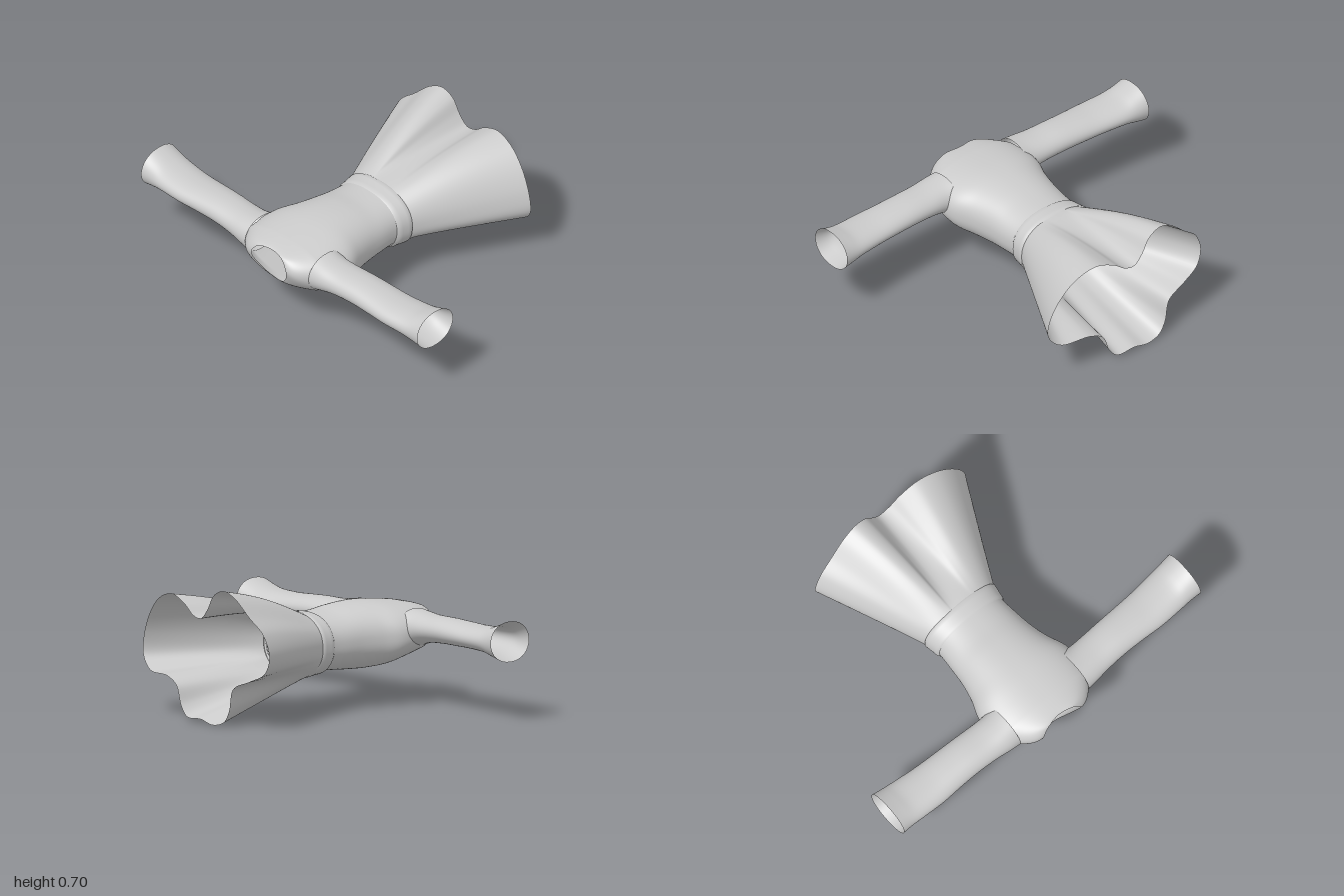
import * as THREE from 'three';

const N = 96; // points round each cross-section
const TAU = Math.PI * 2;
const fabric = new THREE.MeshStandardMaterial({ color: 0xcccccc, side: THREE.DoubleSide });

// Skin a list of closed rings; quads whose centre satisfies skip() are left open
function loft(name, rings, skip = () => false) {
  const n = rings[0].length, index = [];
  for (let i = 0; i < rings.length - 1; i++) {
    for (let j = 0; j < n; j++) {
      const k = (j + 1) % n;
      const centre = rings[i][j].clone().add(rings[i + 1][k]).multiplyScalar(0.5);
      if (skip(centre)) continue;
      const a = i * n + j, b = i * n + k, c = a + n, d = b + n;
      index.push(a, b, c, b, d, c);
    }
  }
  const geometry = new THREE.BufferGeometry().setFromPoints(rings.flat());
  geometry.setIndex(index);
  geometry.computeVertexNormals();
  const mesh = new THREE.Mesh(geometry, fabric);
  mesh.name = name;
  return mesh;
}

// Point on a rounded-box-like oval: half width rx, from y0 to y1
function oval(angle, z, rx, y0, y1, power = 0.88) {
  const c = Math.cos(angle), s = Math.sin(angle);
  return new THREE.Vector3(
    rx * Math.sign(c) * Math.abs(c) ** power,
    (y0 + y1) / 2 + (y1 - y0) / 2 * Math.sign(s) * Math.abs(s) ** power, z);
}
const angles = Array.from({ length: N }, (_, j) => j / N * TAU);
const closedCurve = (pts) =>
  new THREE.CatmullRomCurve3(pts.map(([x, y, z]) => new THREE.Vector3(x, y, z)), true, 'centripetal');

// Smoothly resample a short table of section measurements
function resample(table, steps) {
  const axis = table[0].map((_, c) => new THREE.SplineCurve(
    table.map((row, i) => new THREE.Vector2(i, row[c]))));
  return Array.from({ length: steps + 1 }, (_, i) => axis.map((s) => s.getPoint(i / steps).y));
}

// Flared skirt whose folds grow from the oval waist to the wavy hem
function makeSkirt() {
  const hem = closedCurve([
    [0.51, 0.40], [0.44, 0.53], [0.35, 0.61], [0.24, 0.64], [0.13, 0.60], [0.06, 0.55], [0, 0.54],
    [-0.05, 0.59], [-0.10, 0.67], [-0.17, 0.70], [-0.25, 0.67], [-0.35, 0.58], [-0.44, 0.50],
    [-0.48, 0.39], [-0.45, 0.30], [-0.35, 0.25], [-0.24, 0.20], [-0.21, 0.08], [-0.17, 0.02],
    [-0.09, 0.0], [0, 0.02], [0.11, 0.02], [0.16, 0.07], [0.20, 0.17], [0.28, 0.21],
    [0.45, 0.22], [0.52, 0.29],
  ].map(([x, y]) => [x, y, -0.715 + 0.055 * (x / 0.5) ** 2]));
  const hemRing = hem.getSpacedPoints(N * 2).slice(0, -1);
  const waistRing = hemRing.map((p) =>
    oval(Math.atan2((p.y - 0.36) / 0.3, p.x / 0.42), -0.08, 0.228, 0.18, 0.512));
  const rings = [];
  for (let i = 0; i <= 20; i++) {
    const t = 1 - i / 20;
    rings.push(hemRing.map((p, j) => {
      const v = waistRing[j].clone().lerp(p, t);
      if (p.y > 0.36) v.y += 0.02 * Math.sin(Math.PI * t) * (p.y - 0.36) / 0.3;
      return v;
    }));
  }
  return loft('skirt', rings);
}

// Bodice narrowing over the shoulders to a heart-shaped neck opening
function makeBodice() {
  const sections = resample([ // z, half width, bottom, top
    [-0.08, 0.225, 0.18, 0.51], [0, 0.215, 0.198, 0.505], [0.1, 0.222, 0.198, 0.508],
    [0.2, 0.233, 0.192, 0.522], [0.3, 0.257, 0.19, 0.53], [0.4, 0.295, 0.2, 0.53],
    [0.5, 0.30, 0.228, 0.522], [0.59, 0.285, 0.252, 0.512],
  ], 42);
  const rings = sections.map(([z, rx, y0, y1]) => angles.map((a) => oval(a, z, rx, y0, y1)));
  const neck = closedCurve([
    [0.125, 0.42, 0.715], [0.085, 0.475, 0.705], [0, 0.485, 0.69], [-0.085, 0.475, 0.705],
    [-0.125, 0.42, 0.715], [-0.085, 0.335, 0.68], [0, 0.268, 0.64], [0.085, 0.335, 0.68],
  ]);
  const shoulder = rings[rings.length - 1];
  for (let i = 1; i <= 12; i++) {
    const t = i / 12;
    rings.push(angles.map((a, j) => {
      const rim = neck.getPoint(j / N), v = shoulder[j].clone().lerp(rim, t);
      v.z = THREE.MathUtils.lerp(shoulder[j].z, rim.z, Math.sin(t * Math.PI / 2));
      return v;
    }));
  }
  // Armholes stay open into the sleeves
  const inArmhole = (p) => Math.abs(p.x) > 0.2 &&
    ((p.z - 0.53) / 0.095) ** 2 + ((p.y - 0.4) / 0.06) ** 2 < 1;
  return loft('bodice', rings, inArmhole);
}

// Raised waistband between bodice and skirt
function makeWaistband() {
  const profile = [[-0.1, 0.226], [-0.085, 0.238], [-0.065, 0.234], [-0.03, 0.228], [-0.01, 0.226], [0.005, 0.213]];
  return loft('waistband', profile.map(([z, r]) =>
    angles.map((a) => oval(a, z, r, 0.347 - r * 0.725, 0.347 + r * 0.725))));
}

// Straight sleeve with a gently flared cuff
function makeSleeve(side) {
  const sections = resample([ // x, bottom, top, back z, front z
    [0.23, 0.295, 0.498, 0.41, 0.655], [0.29, 0.318, 0.488, 0.425, 0.652], [0.38, 0.338, 0.48, 0.425, 0.643],
    [0.5, 0.346, 0.48, 0.42, 0.638], [0.62, 0.347, 0.475, 0.415, 0.64], [0.74, 0.347, 0.47, 0.408, 0.645],
    [0.87, 0.342, 0.477, 0.395, 0.64], [0.94, 0.325, 0.497, 0.388, 0.636], [1, 0.31, 0.52, 0.381, 0.638],
  ], 32);
  return loft(side > 0 ? 'leftSleeve' : 'rightSleeve', sections.map(([x, y0, y1, z0, z1]) =>
    angles.map((a) => {
      const c = Math.cos(a), s = Math.sin(a) * side;
      return new THREE.Vector3(side * x, (y0 + y1) / 2 + (y1 - y0) / 2 * c,
        (z0 + z1) / 2 + (z1 - z0) / 2 * Math.sign(s) * Math.abs(s) ** 0.9);
    })));
}

export function createModel() {
  const dress = new THREE.Group();
  dress.name = 'dress';
  dress.add(makeSkirt(), makeWaistband(), makeBodice(), makeSleeve(1), makeSleeve(-1));
  return dress;
}
